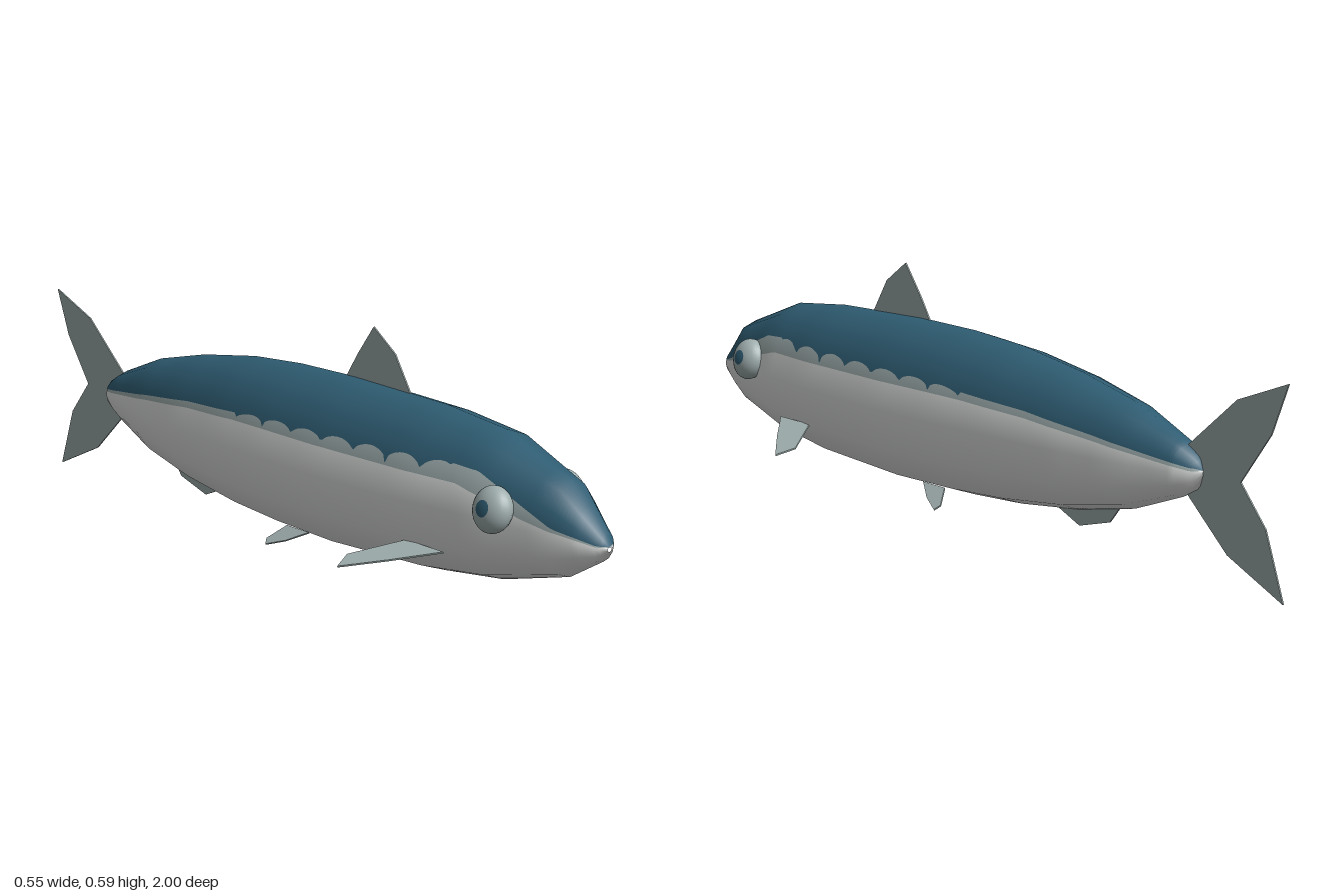
import * as THREE from 'three';

const mat = (name, color, extra = {}) => new THREE.MeshStandardMaterial({ name, color, ...extra });

// Body stations: z, top, bottom, half width
const STATIONS = [
  [1, 0.233, 0.223, 0.006], [0.988, 0.258, 0.2, 0.03], [0.89, 0.355, 0.14, 0.078], [0.69, 0.43, 0.085, 0.125],
  [0.5, 0.45, 0.06, 0.145], [0.2, 0.458, 0.046, 0.155], [0, 0.455, 0.05, 0.151], [-0.17, 0.443, 0.06, 0.14],
  [-0.37, 0.412, 0.085, 0.119], [-0.55, 0.37, 0.123, 0.09], [-0.7, 0.31, 0.18, 0.051],
  [-0.75, 0.28, 0.208, 0.033], [-0.76, 0.25, 0.24, 0.004],
];
// Colour borders as z, y: top of the pale belly and bottom of the blue back
const BELLY = [[1, 0.232], [0.9, 0.255], [0.82, 0.272], [0.75, 0.295], [0.65, 0.32], [0, 0.32],
  [-0.1, 0.318], [-0.3, 0.307], [-0.5, 0.285], [-0.76, 0.25]];
const BACK = [[1, 0.234], [0.9, 0.262], [0.82, 0.3], [0.76, 0.33], [0.7, 0.355], [0.62, 0.36],
  [0, 0.347], [-0.09, 0.337], [-0.3, 0.323], [-0.5, 0.297], [-0.76, 0.256]];

// Linear lookup in a table sorted by falling z
function lookup(table, z) {
  let i = 1;
  while (i < table.length - 1 && table[i][0] > z) i++;
  const a = table[i - 1], b = table[i];
  const t = THREE.MathUtils.clamp((z - a[0]) / (b[0] - a[0]), 0, 1);
  return a.map((v, k) => v + (b[k] - v) * t);
}

function section(z) {
  const [, top, bottom, rx] = lookup(STATIONS, z);
  return { cy: (top + bottom) / 2, ry: (top - bottom) / 2, rx };
}

// Position along the half ring (0 top .. 6 bottom) where the twelve-sided section has height y
function ringAt(z, y) {
  const { cy, ry } = section(z);
  const v = THREE.MathUtils.clamp((y - cy) / ry, -1, 1);
  for (let k = 0; k < 6; k++) {
    const a = Math.cos(k * Math.PI / 6), b = Math.cos((k + 1) * Math.PI / 6);
    if (v >= b) return k + (a - v) / (a - b);
  }
  return 6;
}

const bellyEdge = z => ringAt(z, lookup(BELLY, z)[1]);
function backEdge(z) {
  let y = lookup(BACK, z)[1];
  // scallops along the flank
  if (z < 0.63 && z > -0.09) {
    const low = lookup(BELLY, z)[1] + 0.005;
    y = low + (y - low) * Math.pow(Math.abs(Math.sin((z + 0.09) / 0.106 * Math.PI)), 0.4);
  }
  return Math.min(ringAt(z, y), bellyEdge(z));
}

// Both sides of one colour zone, between two ring positions
function bodyZone(name, from, to, material) {
  const N = 220, R = 7, pos = [], nor = [], idx = [];
  for (const side of [1, -1]) {
    const start = pos.length / 3;
    for (let i = 0; i <= N; i++) {
      const z = 1 - 1.76 * i / N, s = section(z);
      const p = section(Math.min(z + 0.05, 1)), q = section(Math.max(z - 0.05, -0.76));
      const dz = Math.min(z + 0.05, 1) - Math.max(z - 0.05, -0.76);
      for (let j = 0; j < R; j++) {
        const u = THREE.MathUtils.clamp(j, from(z), to(z));
        const k = Math.min(Math.floor(u), 5), f = u - k, a = k * Math.PI / 6, b = a + Math.PI / 6;
        const sx = Math.sin(a) * (1 - f) + Math.sin(b) * f, sy = Math.cos(a) * (1 - f) + Math.cos(b) * f;
        pos.push(side * sx * s.rx, s.cy + sy * s.ry, z);
        const ex = sx * s.ry, ey = sy * s.rx;
        const slope = (ex * sx * (p.rx - q.rx) + ey * (p.cy - q.cy + sy * (p.ry - q.ry))) / dz;
        const n = new THREE.Vector3(side * ex, ey, -slope).normalize();
        nor.push(n.x, n.y, n.z);
        if (i < N && j < R - 1) {
          const A = start + i * R + j, B = A + 1, C = A + R, D = C + 1;
          if (side > 0) idx.push(A, B, C, B, D, C);
          else idx.push(A, C, B, B, C, D);
        }
      }
    }
  }
  const g = new THREE.BufferGeometry();
  g.setAttribute('position', new THREE.Float32BufferAttribute(pos, 3));
  g.setAttribute('normal', new THREE.Float32BufferAttribute(nor, 3));
  g.setIndex(idx);
  const m = new THREE.Mesh(g, material);
  m.name = name;
  return m;
}

// Thin fin from an outline of (z, height) points
function fin(name, outline, material) {
  const shape = new THREE.Shape(outline.map(([z, h]) => new THREE.Vector2(z, h)));
  const g = new THREE.ExtrudeGeometry(shape, { depth: 0.004, bevelEnabled: false });
  g.translate(0, 0, -0.002).rotateY(-Math.PI / 2);
  const m = new THREE.Mesh(g, material);
  m.name = name;
  return m;
}

export function createModel() {
  const blue = mat('back blue', 0x2f5d73);
  const silver = mat('fin silver', 0x9fadad);
  const pale = mat('belly white', 0xe0e3e1);
  const fish = new THREE.Group();
  fish.name = 'fish';

  // Body in three colour zones
  fish.add(
    bodyZone('back', () => 0, backEdge, blue),
    bodyZone('flankStripe', backEdge, bellyEdge, silver),
    bodyZone('belly', bellyEdge, () => 6, pale),
  );

  // Fins on the centre line
  fish.add(
    fin('dorsalFin', [[0.39, 0.44], [0.33, 0.535], [0.257, 0.587], [0.2, 0.51], [0.155, 0.44]], silver),
    fin('analFin', [[-0.28, 0.085], [-0.37, 0.047], [-0.47, 0.075], [-0.51, 0.125], [-0.4, 0.12]], silver),
    fin('tailFin', [[-0.7, 0.29], [-0.855, 0.425], [-1, 0.482], [-0.955, 0.365], [-0.87, 0.245],
      [-0.945, 0.155], [-1, 0], [-0.835, 0.075], [-0.7, 0.2]], silver),
  );

  for (const side of [1, -1]) {
    const label = side > 0 ? 'left' : 'right';
    // Paired fins, leaning outward and down
    const pectoral = fin(label + 'PectoralFin',
      [[0.62, 0], [0.53, 0.083], [0.44, 0.159], [0.42, 0.11], [0.5, 0]], silver);
    pectoral.position.set(side * 0.12, 0.155, 0);
    pectoral.rotation.z = -side * 1.857;
    const pelvic = fin(label + 'PelvicFin',
      [[0.11, 0], [0.06, 0.04], [0.01, 0.066], [0, 0.05], [0.03, 0]], silver);
    pelvic.position.set(side * 0.07, 0.071, 0);
    pelvic.rotation.z = -side * 2.25;

    // Eye with an iris cap on its outer face
    const eye = new THREE.Group();
    eye.name = label + 'Eye';
    const ball = new THREE.Mesh(new THREE.SphereGeometry(1, 24, 16), silver);
    ball.name = 'eyeball';
    const iris = new THREE.Mesh(new THREE.SphereGeometry(1.02, 20, 4, 0, Math.PI * 2, 0, 0.36), blue);
    iris.name = 'iris';
    iris.rotation.z = -side * Math.PI / 2;
    eye.add(ball, iris);
    eye.scale.set(0.036, 0.053, 0.051);
    eye.position.set(side * 0.113, 0.285, 0.763);
    eye.rotation.z = side * 0.25;
    fish.add(pectoral, pelvic, eye);
  }
  return fish;
}
